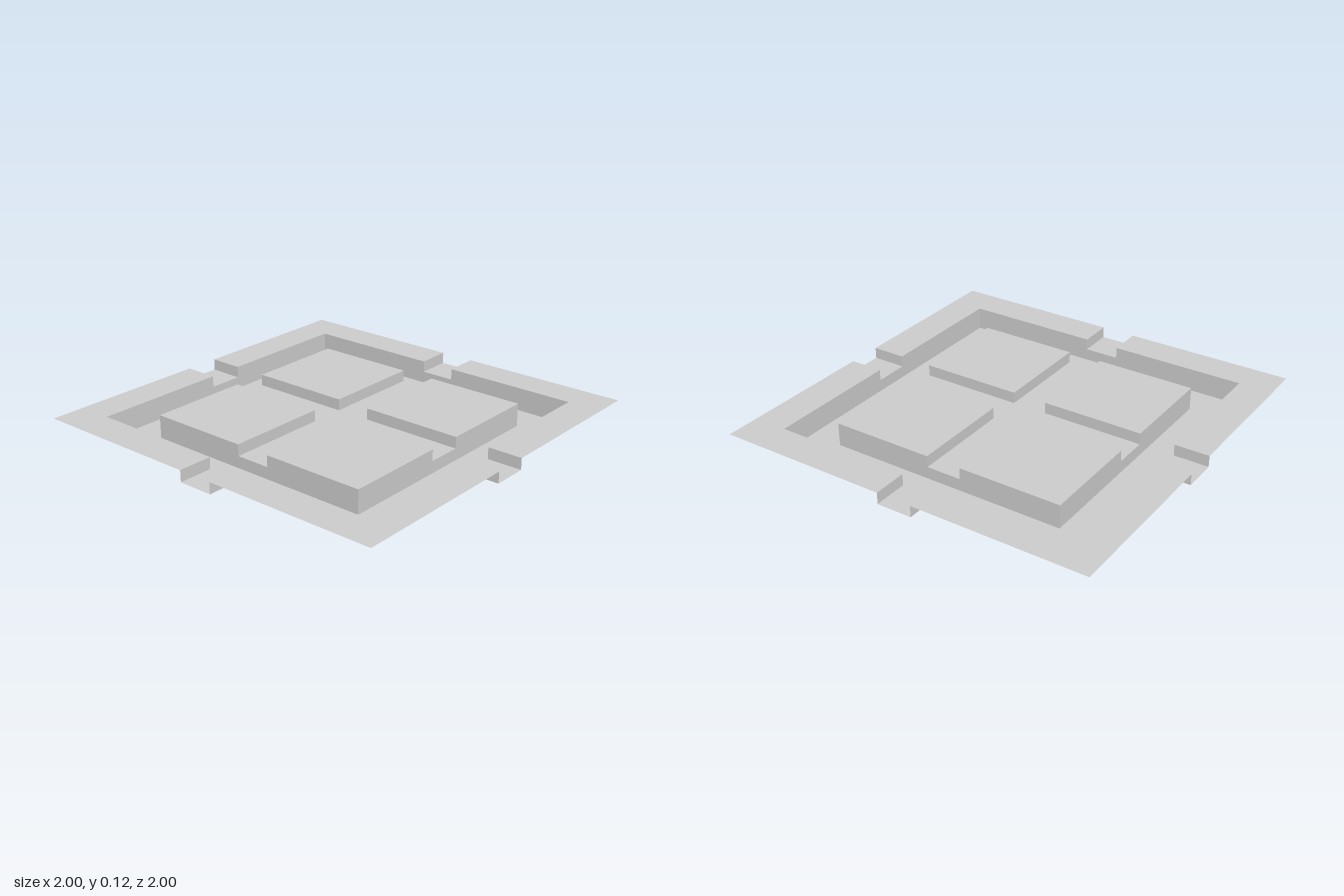
import * as THREE from 'three';

const TOP = 0.123, MID = 0.063, FLOOR = 0;
// grid lines shared by x and z: rim, ring channel, pads, middle groove, mirrored
const LINES = [-1, -0.818, -0.635, -0.093, 0.093, 0.635, 0.818, 1];
const N = LINES.length - 1;

// which part a grid cell belongs to, and its height
function cell(i, j) {
  if (i < 0 || j < 0 || i >= N || j >= N) return null;
  const a = Math.abs(i - 3), b = Math.abs(j - 3), ring = Math.max(a, b);
  if (ring === 2) return { part: 'ringChannel', y: FLOOR };
  const groove = a === 0 || b === 0;
  if (ring === 3) return groove ? { part: 'rimNotches', y: MID } : { part: 'rim', y: TOP };
  return groove ? { part: 'crossGroove', y: MID } : { part: 'raisedPads', y: TOP };
}

export function createModel() {
  const group = new THREE.Group();
  group.name = 'pressedPanel';
  const parts = {};

  // two triangles, corners counter-clockwise from the visible side
  const quad = (part, a, b, c, d) => (parts[part] ??= []).push(...a, ...b, ...c, ...a, ...c, ...d);

  // vertical step between two neighbouring cells, facing the lower one
  const wall = (p, q, x0, z0, x1, z1) => {
    if (!p || !q || p.y === q.y) return;
    const high = p.y > q.y ? p : q;
    const lo = Math.min(p.y, q.y), hi = high.y;
    if (high === p) quad(high.part, [x0, lo, z0], [x1, lo, z1], [x1, hi, z1], [x0, hi, z0]);
    else quad(high.part, [x1, lo, z1], [x0, lo, z0], [x0, hi, z0], [x1, hi, z1]);
  };

  for (let i = 0; i < N; i++) {
    for (let j = 0; j < N; j++) {
      const c = cell(i, j);
      const x0 = LINES[i], x1 = LINES[i + 1], z0 = LINES[j], z1 = LINES[j + 1];
      // level surface
      quad(c.part, [x0, c.y, z0], [x0, c.y, z1], [x1, c.y, z1], [x1, c.y, z0]);
      // steps towards +x and +z
      wall(c, cell(i + 1, j), x1, z1, x1, z0);
      wall(c, cell(i, j + 1), x0, z1, x1, z1);
    }
  }

  // thin open sheet, seen from both sides
  const material = new THREE.MeshStandardMaterial({
    color: 0xcccccc, flatShading: true, side: THREE.DoubleSide,
  });
  for (const [name, positions] of Object.entries(parts)) {
    const geometry = new THREE.BufferGeometry();
    geometry.setAttribute('position', new THREE.Float32BufferAttribute(positions, 3));
    geometry.computeVertexNormals();
    const mesh = new THREE.Mesh(geometry, material);
    mesh.name = name;
    group.add(mesh);
  }
  return group;
}
